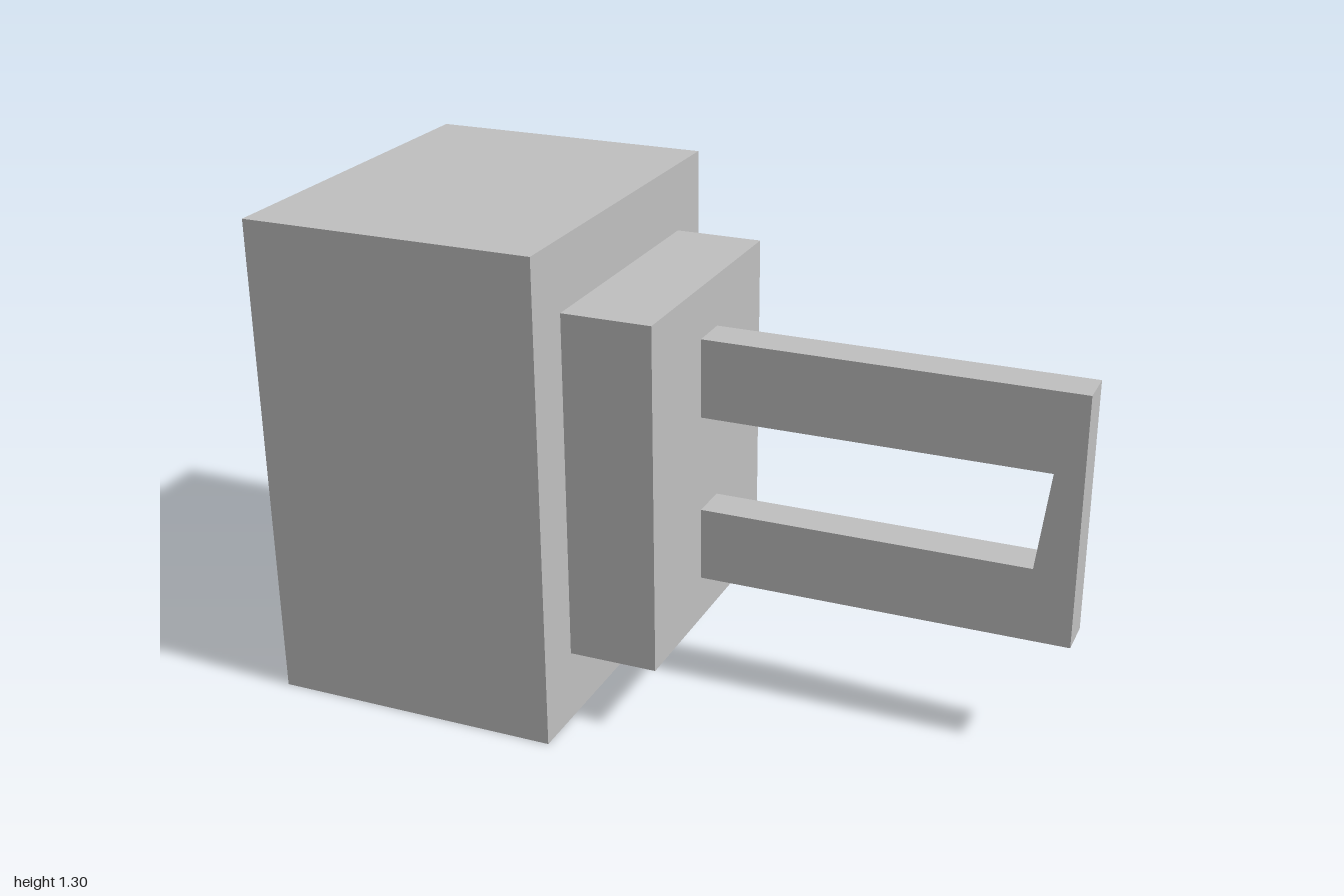
import * as THREE from 'three';

export function createModel() {
  const model = new THREE.Group();
  const grey = new THREE.MeshStandardMaterial({ color: 0xc0c0c0 });
  grey.name = 'plain grey';

  // Box given by its lower and upper corners
  const addBox = (name, [x0, y0, z0], [x1, y1, z1]) => {
    const mesh = new THREE.Mesh(new THREE.BoxGeometry(x1 - x0, y1 - y0, z1 - z0), grey);
    mesh.position.set((x0 + x1) / 2, (y0 + y1) / 2, (z0 + z1) / 2);
    mesh.name = name;
    model.add(mesh);
  };

  // Main block and the stepped plate on its left side
  addBox('mainBlock', [-1, 0, -0.5], [-0.22, 1.3, 0.5]);
  addBox('mountingPlate', [-0.22, 0.19, -0.357], [0.017, 1.117, 0.357]);

  // Flat U-shaped handle with a slanted inner end
  const outline = [
    [0.017, 0.31], [1, 0.31], [1, 0.98], [0.017, 0.98],
    [0.017, 0.768], [0.925, 0.768], [0.893, 0.508], [0.017, 0.508],
  ];
  const shape = new THREE.Shape(outline.map(([x, y]) => new THREE.Vector2(x, y)));
  const thickness = 0.108;
  const geometry = new THREE.ExtrudeGeometry(shape, { depth: thickness, bevelEnabled: false });
  geometry.translate(0, 0, -thickness / 2);
  const handle = new THREE.Mesh(geometry, grey);
  handle.name = 'handle';
  model.add(handle);

  return model;
}
